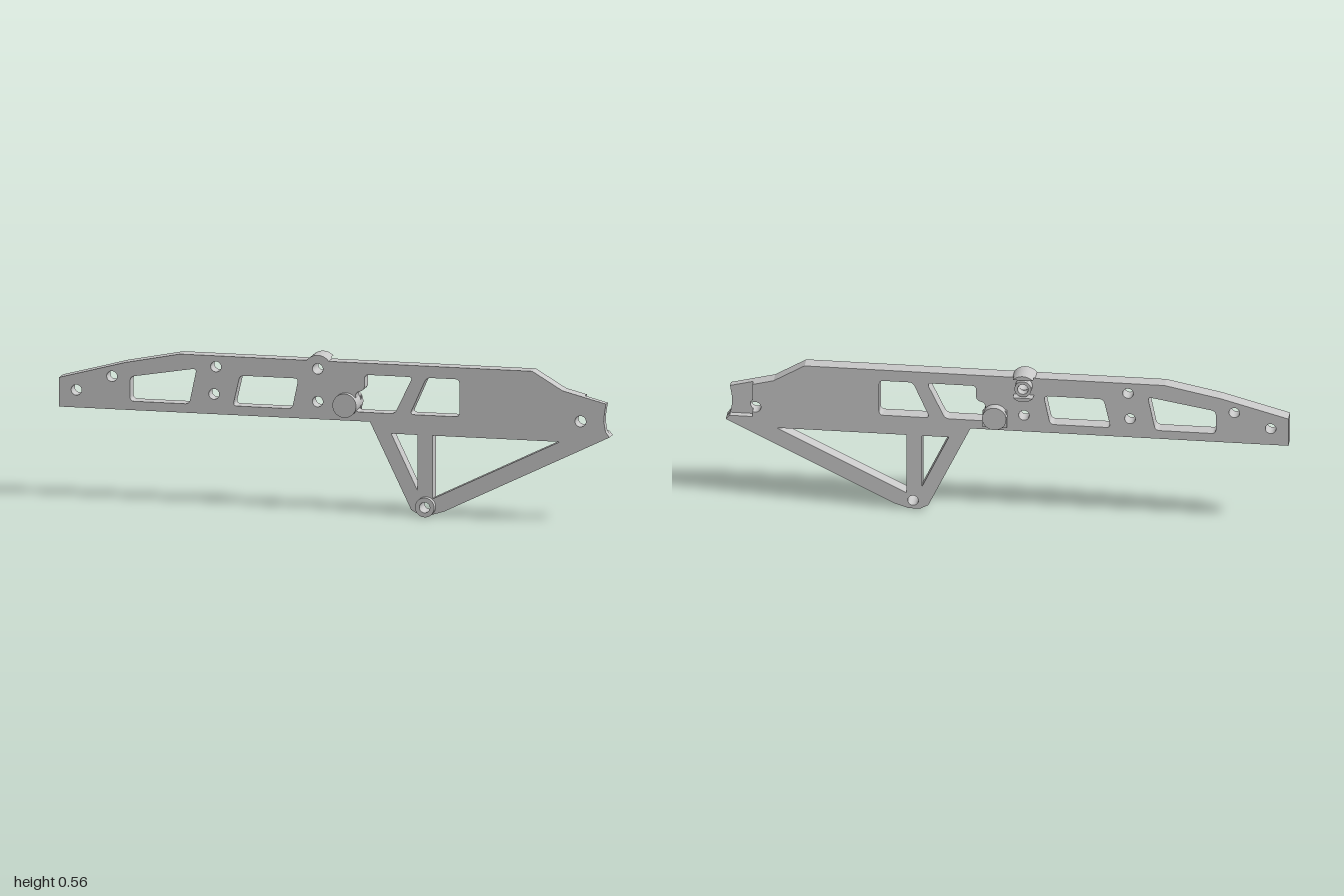
import * as THREE from 'three';

const FRONT = 0.032, BACK = -0.021, REAR = -0.053, NOSE = 0.054;

// closed polygon with softened corners
function rounded(points, r) {
  const path = new THREE.Path();
  const p = points.map(([x, y]) => new THREE.Vector2(x, y));
  p.forEach((c, i) => {
    const toward = (q) => c.clone().add(q.clone().sub(c).setLength(r));
    const a = toward(p[(i + p.length - 1) % p.length]);
    const b = toward(p[(i + 1) % p.length]);
    if (i === 0) path.moveTo(a.x, a.y); else path.lineTo(a.x, a.y);
    path.quadraticCurveTo(c.x, c.y, b.x, b.y);
  });
  path.closePath();
  return path;
}

function polygon(points) {
  return new THREE.Shape(points.map(([x, y]) => new THREE.Vector2(x, y)));
}

function circle(x, y, r, Type = THREE.Path) {
  const c = new Type();
  c.absarc(x, y, r, 0, Math.PI * 2, false);
  return c;
}

function ring(x, y, outer, inner) {
  const s = circle(x, y, outer, THREE.Shape);
  s.holes.push(circle(x, y, inner));
  return s;
}

// points along a circular arc
function arc(x, y, r, from, to, n = 14) {
  return Array.from({ length: n + 1 }, (_, i) => {
    const a = from + (to - from) * i / n;
    return [x + r * Math.cos(a), y + r * Math.sin(a)];
  });
}

export function createModel() {
  const group = new THREE.Group();
  const grey = new THREE.MeshStandardMaterial({ color: 0xc8c8c8 });
  grey.name = 'lightGrey';

  function slab(name, shape, z0, z1) {
    const g = new THREE.ExtrudeGeometry(shape, { depth: z1 - z0, bevelEnabled: false, curveSegments: 16 });
    g.translate(0, 0, z0);
    const mesh = new THREE.Mesh(g, grey);
    mesh.name = name;
    group.add(mesh);
  }

  // main plate: clamp bump above its top edge, end cut through the last screw hole
  const cx = -0.06, cy = 0.51, cr = 0.05;
  const bump = Math.asin(0.03 / cr);
  const third = Math.PI / 3;
  const plate = polygon([
    [-1, 0.33], [0.13, 0.33], [0.28, 0.02], [0.31, 0.004], [0.35, 0.004], [0.4, 0.02],
    [0.905, 0.268], ...arc(0.895, 0.368, 0.02, -third, -5 * third),
    [0.905, 0.456], [0.83, 0.475], [0.72, 0.54],
    ...arc(cx, cy, cr, bump, Math.PI - bump),
    [-0.56, 0.54], [-0.76, 0.5], [-1, 0.435],
  ]);

  // lightening windows
  const windows = [
    [[-0.742, 0.362], [-0.527, 0.362], [-0.5, 0.491], [-0.742, 0.45]],
    [[-0.368, 0.363], [-0.153, 0.363], [-0.13, 0.473], [-0.343, 0.473]],
    [[0.077, 0.363], [0.22, 0.363], [0.285, 0.498], [0.11, 0.498], [0.11, 0.442], [0.077, 0.433]],
    [[0.275, 0.363], [0.455, 0.363], [0.455, 0.498], [0.335, 0.498]],
  ];
  windows.forEach((w) => plate.holes.push(rounded(w, 0.016)));

  // openings between the lower struts
  plate.holes.push(rounded([[0.207, 0.291], [0.303, 0.291], [0.303, 0.09]], 0.003));
  plate.holes.push(rounded([[0.357, 0.291], [0.82, 0.291], [0.357, 0.063]], 0.003));

  // screw holes
  [[-0.937, 0.393], [-0.808, 0.448], [-0.43, 0.501], [-0.437, 0.402],
    [-0.06, 0.511], [-0.06, 0.393], [0.334, 0.035]]
    .forEach(([x, y]) => plate.holes.push(circle(x, y, 0.019)));
  slab('plate', plate, BACK, FRONT);

  // thinned end with a scooped edge and a ledge at its foot
  slab('endTab', polygon([[0.905, 0.268], [1, 0.315], [0.986, 0.335], [0.98, 0.37],
    [0.982, 0.4], [0.988, 0.435], [0.905, 0.456],
    ...arc(0.895, 0.368, 0.02, third, -third)]), 0.004, FRONT);
  slab('endLedge', polygon([[0.905, 0.268], [1, 0.315], [0.986, 0.33], [0.905, 0.33]]), BACK, 0.004);

  // round eye at the foot of the struts
  slab('footEye', ring(0.334, 0.035, 0.035, 0.019), FRONT, NOSE);

  // clamp on the rear: inner sleeve between two curved jaws
  slab('clampSleeve', ring(cx, cy, 0.03, 0.019), REAR, BACK);
  const jaw = Math.asin(0.035 / cr);
  slab('upperJaw', polygon(arc(cx, cy, cr, jaw, Math.PI - jaw)), REAR, BACK);
  slab('lowerJaw', polygon(arc(cx, cy, cr, Math.PI + jaw, Math.PI * 2 - jaw)), REAR, BACK);

  // pivot pin passing through the plate, with its rear pad
  const pin = new THREE.Mesh(new THREE.CylinderGeometry(0.043, 0.043, NOSE - REAR, 32), grey);
  pin.name = 'pivotPin';
  pin.rotation.x = Math.PI / 2;
  pin.position.set(0.042, 0.387, (NOSE + REAR) / 2);
  group.add(pin);
  slab('pivotPad', polygon([[0, 0.346], [0.085, 0.346], [0.085, 0.41], [0, 0.41]]), -0.035, BACK);

  return group;
}
